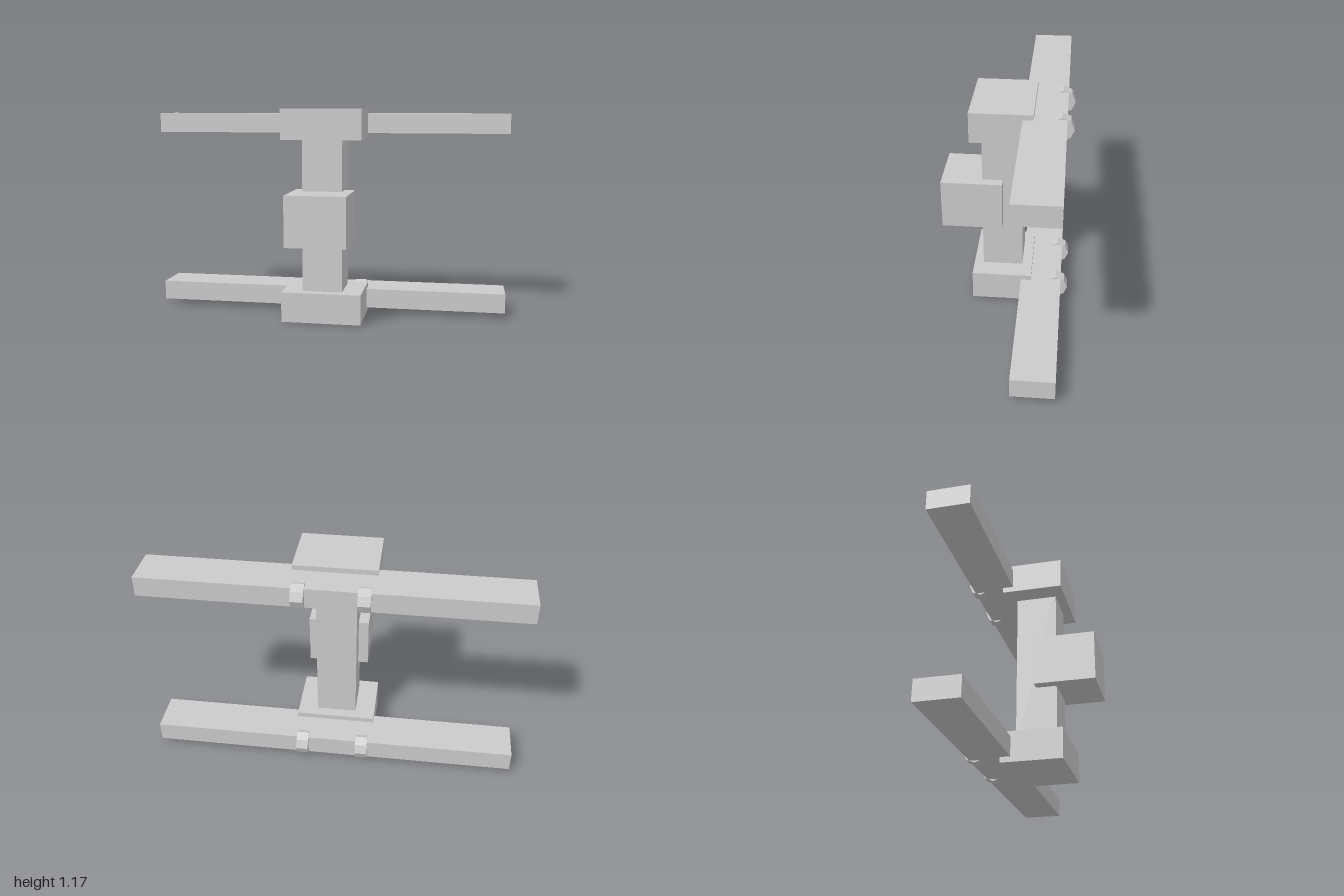
import * as THREE from 'three';

const material = new THREE.MeshStandardMaterial({ color: 0xcccccc, flatShading: true });

// Box centred on x, given its width and its y and z ranges
function addBox(parent, name, width, [y0, y1], [z0, z1]) {
  const mesh = new THREE.Mesh(new THREE.BoxGeometry(width, y1 - y0, z1 - z0), material);
  mesh.name = name;
  mesh.position.set(0, (y0 + y1) / 2, (z0 + z1) / 2);
  parent.add(mesh);
}

// End block with its crossbar and two octagonal clamps
function createEnd(name) {
  const end = new THREE.Group();
  end.name = name;
  addBox(end, 'endBlock', 0.44, [0, 0.167], [-0.146, 0.185]);
  addBox(end, 'crossbar', 2, [0.03, 0.139], [-0.314, -0.09]);
  const clampGeometry = new THREE.CylinderGeometry(0.066, 0.066, 0.066, 8).rotateZ(Math.PI / 2);
  for (const side of [-1, 1]) {
    const clamp = new THREE.Mesh(clampGeometry, material);
    clamp.name = side > 0 ? 'leftClamp' : 'rightClamp';
    clamp.position.set(side * 0.166, 0.0845, -0.286);
    end.add(clamp);
  }
  return end;
}

export function createModel() {
  const model = new THREE.Group();
  model.name = 'doubleCrossbarFrame';

  // Upright column and the block on its front
  addBox(model, 'column', 0.22, [0.08, 1.09], [-0.09, 0.133]);
  addBox(model, 'middleBlock', 0.33, [0.447, 0.723], [0.02, 0.353]);

  // Matching ends at the bottom and top
  const lower = createEnd('lowerEnd');
  const upper = createEnd('upperEnd');
  upper.position.y = 1.002;
  model.add(lower, upper);
  return model;
}
